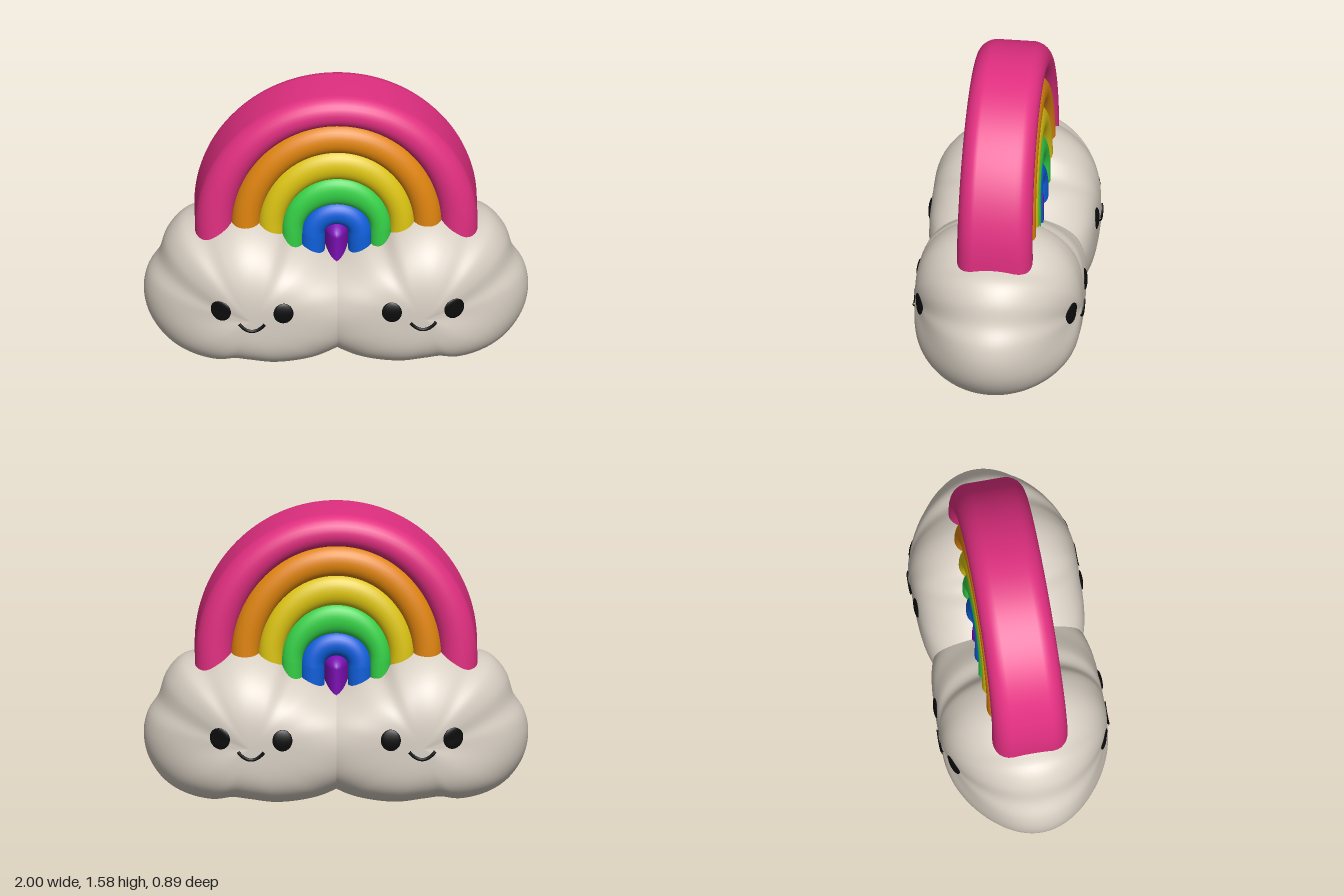
import * as THREE from 'three';
import { mergeVertices } from 'three/addons/utils/BufferGeometryUtils.js';

const mat = (name, color) => {
  const m = new THREE.MeshStandardMaterial({ color });
  m.name = name;
  return m;
};

// Smooth surface from closed cross-section loops; point(i, j) returns [x, y, z]
function loft(rows, cols, point) {
  const pos = [], index = [];
  for (let i = 0; i < rows; i++) {
    for (let j = 0; j < cols; j++) {
      pos.push(...point(i, j));
      if (i === rows - 1) continue;
      const k = (j + 1) % cols;
      const a = i * cols + j, b = a + cols, c = (i + 1) * cols + k, d = i * cols + k;
      index.push(a, b, c, a, c, d);
    }
  }
  let geo = new THREE.BufferGeometry();
  geo.setAttribute('position', new THREE.Float32BufferAttribute(pos, 3));
  geo.setIndex(index);
  geo = mergeVertices(geo, 1e-5);
  geo.computeVertexNormals();
  return geo;
}

// Puffy outline of one cloud; the inner end is buried in its twin
const CX = 0.45, CY = 0.4, DEPTH = 0.436;
const outline = new THREE.CatmullRomCurve3([
  [1, 0.34], [0.98, 0.45], [0.925, 0.54], [0.885, 0.66], [0.81, 0.745], [0.71, 0.775],
  [0.63, 0.82], [0.53, 0.855], [0.42, 0.857], [0.3, 0.815], [0.22, 0.735], [0.12, 0.705],
  [0, 0.635], [-0.17, 0.53], [-0.25, 0.38], [-0.18, 0.19], [0, 0.065], [0.12, 0.025],
  [0.3, 0.005], [0.46, 0.025], [0.55, 0.035], [0.66, 0.018], [0.8, 0.045], [0.9, 0.105], [0.975, 0.215],
].map(([x, y]) => new THREE.Vector3(x - CX, y - CY, 0)), true, 'centripetal');
const TAU = Math.PI * 2;
const wrap = (a) => ((a % TAU) + TAU) % TAU;
const polar = outline.getPoints(600)
  .map((p) => [wrap(Math.atan2(p.y, p.x)), p.length()])
  .sort((p, q) => p[0] - q[0]);

function radiusAt(angle) {
  const a = wrap(angle);
  const n = polar.findIndex((p) => p[0] >= a);
  if (n <= 0) return polar[0][1];
  const [a0, r0] = polar[n - 1], [a1, r1] = polar[n];
  return r0 + (r1 - r0) * (a - a0) / Math.max(a1 - a0, 1e-9);
}

// Half thickness: tapers softly to the outer end, fuller below and inside
function thickness(angle, t) {
  const c = Math.cos(angle), s = Math.sin(angle);
  const n = (c > 0 ? 1.5 : 4) * c * c + (s > 0 ? 2.7 : 4) * s * s;
  return DEPTH * Math.sqrt(Math.max(0, 1 - t ** n));
}

function surfaceZ(x, y) {
  const a = Math.atan2(y - CY, x - CX);
  return thickness(a, Math.min(1, Math.hypot(x - CX, y - CY) / radiusAt(a)));
}

function cloudGeometry() {
  const rows = 65, cols = 144;
  return loft(rows, cols, (i, j) => {
    const phi = Math.PI * i / (rows - 1), a = TAU * j / cols;
    const t = Math.min(1, Math.sin(phi)), r = t * radiusAt(a);
    const z = Math.sign((rows - 1) / 2 - i) * thickness(a, t);
    return [CX + r * Math.cos(a), CY + r * Math.sin(a), z];
  });
}

// Eye: a shallow dome wrapped onto the cloud surface
function eyeGeometry(x, y, side) {
  const geo = new THREE.SphereGeometry(1, 28, 20).scale(0.052, 0.058, 0.012).translate(x, y, 0);
  const p = geo.attributes.position;
  for (let i = 0; i < p.count; i++) p.setZ(i, p.getZ(i) + side * surfaceZ(p.getX(i), p.getY(i)));
  geo.computeVertexNormals();
  return geo;
}

// Smile: a thin tube lying on the cloud surface
function smileGeometry(x, side) {
  const pts = [];
  for (let i = 0; i <= 12; i++) {
    const u = i / 6 - 1, px = x + u * 0.068, py = 0.342 + 0.043 * u * u;
    pts.push(new THREE.Vector3(px, py, side * (surfaceZ(px, py) + 0.002)));
  }
  return new THREE.TubeGeometry(new THREE.CatmullRomCurve3(pts), 32, 0.009, 8);
}

// Rainbow band: rounded section swept up a leg, over an arch and down again
function bandGeometry(outer, inner) {
  const legs = 4, arc = 64, rows = arc + 1 + legs * 2, cols = 28, bottom = 0.52;
  const [rx, top, cy] = outer, [ix, iTop] = inner;
  const w = (rx - ix) / 2;
  return loft(rows, cols, (i, j) => {
    const v = TAU * (j + 0.5) / cols, s = (Math.cos(v) + 1) / 2;
    const a = Math.PI * Math.min(1, Math.max(0, (i - legs) / arc));
    const drop = Math.max(0, legs - i, i - legs - arc) / legs;
    const x = (ix + (rx - ix) * s) * Math.cos(a);
    const ry = iTop - cy + (top - iTop) * s;
    const half = 0.198 - 0.01 * Math.sin(a);
    return [x, cy + ry * Math.sin(a) - drop * (cy - bottom),
      Math.sign(Math.sin(v)) * (half - w) + w * Math.sin(v)];
  });
}

export function createModel() {
  const model = new THREE.Group();
  model.name = 'rainbowClouds';
  const add = (parent, name, geo, material) => {
    const mesh = new THREE.Mesh(geo, material);
    mesh.name = name;
    parent.add(mesh);
    return mesh;
  };
  const cloudMat = mat('cloud cream', 0xd9d0c4);
  const black = mat('face black', 0x0c0c0c);

  // Two clouds, each with a face on the front and on the back
  const body = cloudGeometry();
  ['left', 'right'].forEach((label, n) => {
    const cloud = new THREE.Group();
    cloud.name = label + 'Cloud';
    cloud.rotation.y = n * Math.PI;
    add(cloud, 'cloudBody', body, cloudMat);
    for (const side of [1, -1]) {
      for (const x of [0.282, 0.607]) add(cloud, 'eye', eyeGeometry(x, 0.447, side), black);
      add(cloud, 'smile', smileGeometry(0.445, side), black);
    }
    model.add(cloud);
  });

  // Nested bands: half width, top height, height of the arch centre
  const rainbow = new THREE.Group();
  rainbow.name = 'rainbow';
  const bands = [
    ['pink', 0xe22f81, 0.735, 1.582, 0.8],
    ['orange', 0xe0850f, 0.55, 1.418, 0.8],
    ['yellow', 0xdcc412, 0.41, 1.26, 0.8],
    ['green', 0x34cf46, 0.287, 1.1, 0.79],
    ['blue', 0x0f5fda, 0.188, 0.948, 0.76],
  ];
  bands.forEach(([name, color, ...outer], i) => {
    const next = bands[i + 1];
    const inner = next ? [next[2] - 0.015, next[3] - 0.015] : [0.06, 0.81];
    add(rainbow, name + 'Band', bandGeometry(outer, inner), mat('rainbow ' + name, color));
  });

  // Violet core filling the smallest arch
  const core = add(rainbow, 'violetCore', new THREE.CapsuleGeometry(0.07, 0.19, 12, 28), mat('rainbow violet', 0x7b10b4));
  core.position.y = 0.655;
  core.scale.z = 2.7;
  model.add(rainbow);
  return model;
}
